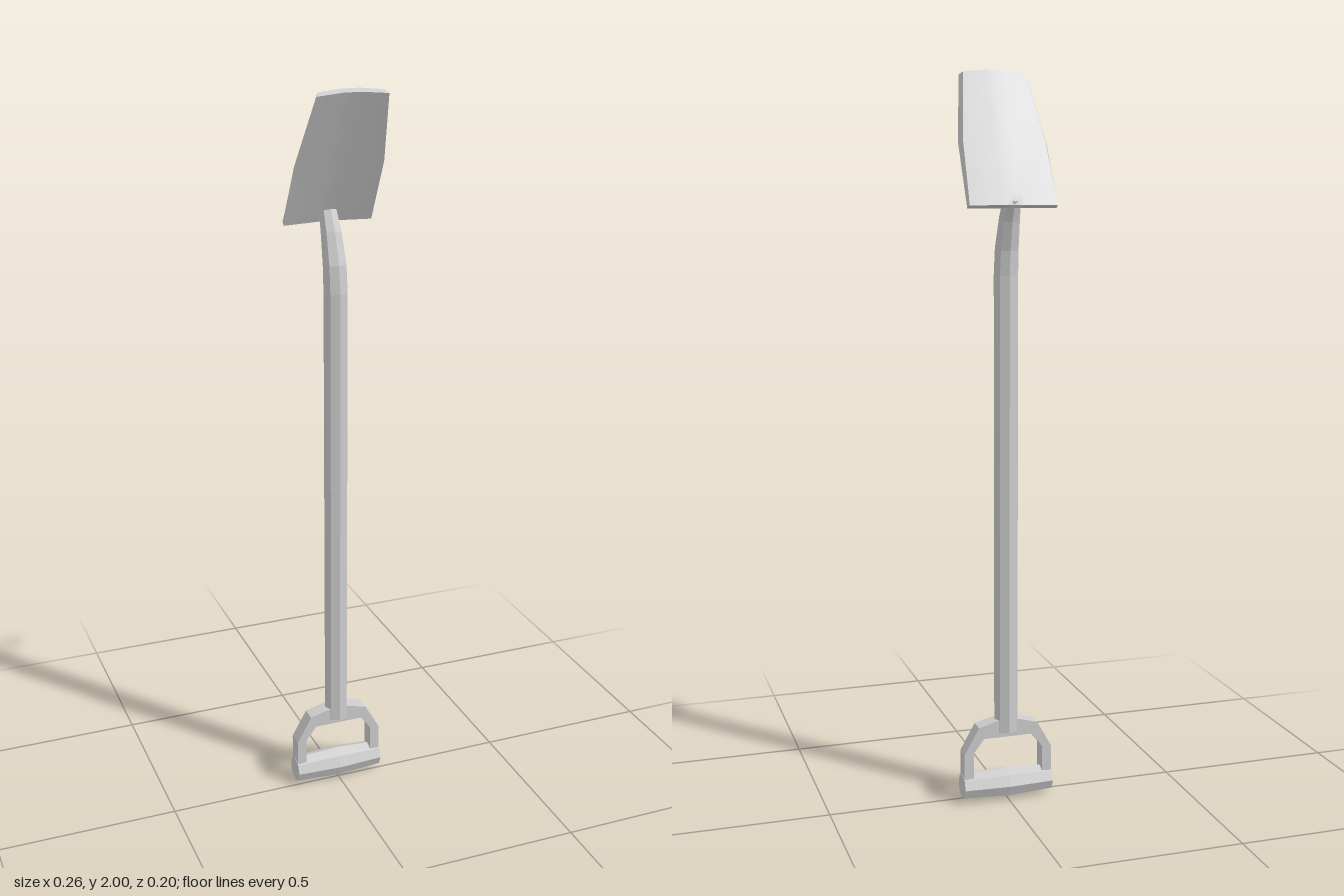
import * as THREE from 'three';
import { toCreasedNormals } from 'three/addons/utils/BufferGeometryUtils.js';

const flat = new THREE.MeshStandardMaterial({ color: 0xcccccc, flatShading: true });
const smooth = new THREE.MeshStandardMaterial({ color: 0xcccccc });
const AXIS_Z = -0.019; // depth of the shaft and handle axis

// Skin closed rings (counter-clockwise seen from the far end) and cap both ends
function loft(rings) {
  const n = rings[0].length, index = [];
  const quad = (a, b, c, d) => index.push(a, b, c, a, c, d);
  for (let r = 0; r < rings.length - 1; r++) {
    for (let i = 0; i < n; i++) {
      const a = r * n, j = (i + 1) % n;
      quad(a + i, a + j, a + n + j, a + n + i);
    }
  }
  const e = (rings.length - 1) * n;
  for (let i = 0; i < n / 2 - 1; i++) {
    quad(n - 1 - i, n - 2 - i, i + 1, i);
    quad(e + i, e + i + 1, e + n - 2 - i, e + n - 1 - i);
  }
  const g = new THREE.BufferGeometry();
  g.setAttribute('position', new THREE.Float32BufferAttribute(rings.flat(2), 3));
  g.setIndex(index);
  g.computeVertexNormals();
  return g;
}

const octagon = (fn) => Array.from({ length: 8 }, (_, i) => fn(Math.cos(i * Math.PI / 4), Math.sin(i * Math.PI / 4)));

// Shaft with a bent, tapering socket: [y, z, radius, backward tilt]
function shaftGeometry() {
  const stations = [
    [0.2, AXIS_Z, 0.034, 0],
    [1.47, AXIS_Z, 0.034, 0.06],
    [1.54, -0.026, 0.033, 0.22],
    [1.62, -0.05, 0.029, 0.4],
    [1.673, -0.074, 0.025, 0.45],
  ];
  return loft(stations.map(([y, z, r, a]) =>
    octagon((c, s) => [r * c, y - Math.sin(a) * r * s, z - Math.cos(a) * r * s])));
}

// Cross bar of the handle, slightly swollen in the middle
function gripGeometry() {
  return loft([[-0.128, 0.036], [-0.07, 0.039], [0, 0.043], [0.07, 0.039], [0.128, 0.036]].map(([x, r]) =>
    octagon((c, s) => [x, 0.046 + r * c, AXIS_Z + r * s])));
}

// D-shaped frame joining the grip to the shaft
function frameGeometry() {
  const mirrored = (half) => [...half, ...half.map(([x, y]) => [-x, y]).reverse()].map((p) => new THREE.Vector2(...p));
  const shape = new THREE.Shape(mirrored([[0.127, 0.04], [0.127, 0.145], [0.085, 0.22], [0.03, 0.235]]));
  shape.holes.push(new THREE.Path(mirrored([[0.1, 0.06], [0.1, 0.147], [0.07, 0.187]])));
  const depth = 0.044;
  return new THREE.ExtrudeGeometry(shape, { depth, bevelEnabled: false }).translate(0, 0, AXIS_Z - depth / 2);
}

// Tilted, shallowly folded blade with a small notch where it meets the socket
function bladeGeometry() {
  // y and z of the front corner, half width, back edge inset, fold depth, crown height, notch
  const rows = [
    [1.645, -0.074, 0.122, 0.002, 0.015, 0, 0.01],
    [1.675, -0.059, 0.122, 0.004, 0.014, 0, 0],
    [1.81, 0.009, 0.122, 0.009, 0.011, 0.002, 0],
    [1.991, 0.1, 0.095, 0.008, 0.004, 0.006, 0],
  ];
  return loft(rows.map(([y, z, w, inset, fold, crown, notch]) => {
    const side = (half, dy, dz, dip) => [-half, -0.025, 0, 0.025, half].map((x, i) => {
      const edge = i === 0 || i === 4;
      return [x, y + dy + (edge ? 0 : crown), z + dz - (edge ? 0 : fold) + (i === 2 ? dip : 0)];
    });
    return [...side(w, 0, 0, 0), ...side(w - inset, 0.008, -0.015, notch).reverse()];
  }));
}

export function createModel() {
  const model = new THREE.Group();
  model.name = 'shovel';
  const add = (name, geometry, material) => {
    const mesh = new THREE.Mesh(geometry, material);
    mesh.name = name;
    model.add(mesh);
  };
  add('shaft', shaftGeometry(), flat);
  add('handleFrame', frameGeometry(), flat);
  add('handleGrip', gripGeometry(), flat);
  add('blade', toCreasedNormals(bladeGeometry(), 0.5), smooth);
  return model;
}
